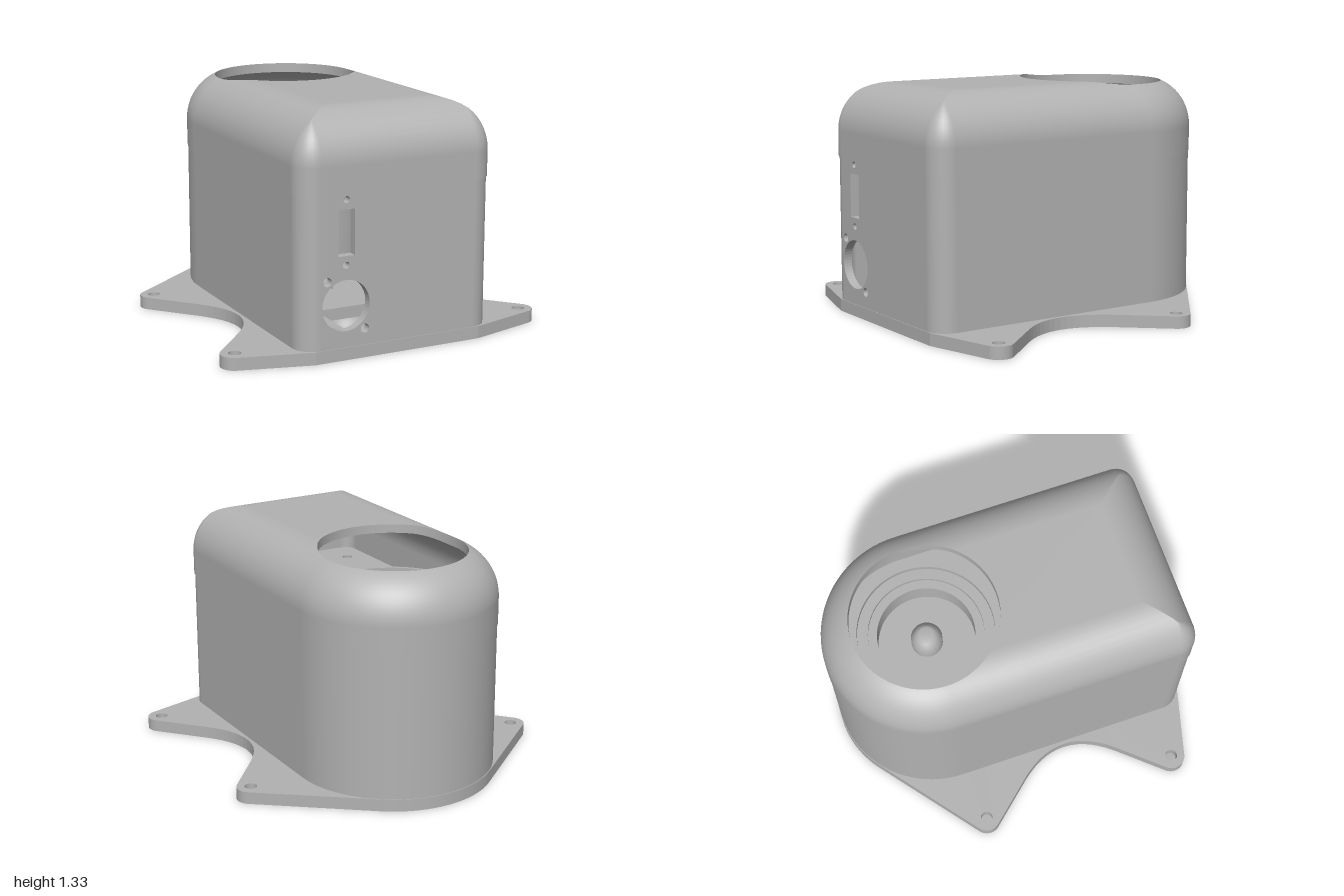
import * as THREE from 'three';

const ZC = -0.415;      // centre of the round back end and of the top opening
const R = 0.415;        // radius of the top opening
const SEAM = 0.9;       // height where cover and lower housing meet
const SPRING = 1.05;    // height where the cover starts to round over
const WALL = 0.05;
const PI = Math.PI;

const grey = new THREE.MeshStandardMaterial({ color: 0xb2b2b2, side: THREE.DoubleSide });
grey.name = 'grey plastic';

function add(group, name, geometry, x = 0, y = 0, z = 0) {
  const mesh = new THREE.Mesh(geometry, grey);
  mesh.name = name;
  mesh.position.set(x, y, z);
  group.add(mesh);
  return mesh;
}

// Housing footprint: half width w, front at z = f, corner radius r, rounded back.
// Each entry gives a point for any inset d, its normal, and the largest inset allowed.
function footprint(w, f, r, fillet) {
  const pts = [];
  const push = (nx, nz, at, dmax) => pts.push({ nx, nz, at, dmax });
  const half = [];
  for (let i = 0; i <= 8; i++) {
    const a = PI / 2 * (1 - i / 8), c = Math.cos(a), s = Math.sin(a);
    half.push([c, s, d => {
      const m = Math.max(d, r), q = Math.max(r - d, 0);
      return [w - m + q * c, f - m + q * s];
    }, fillet]);
  }
  const aFlat = Math.acos((w - fillet) / R);
  const angles = [];
  for (let i = 0; i <= 3; i++) angles.push(PI / 2 + (aFlat - PI / 2) * i / 3);
  for (let i = 1; i <= 10; i++) angles.push(aFlat * (1 - i / 10));
  for (const a of angles) {
    const z = ZC + R * Math.sin(a);
    half.push([1, 0, d => [w - d, z], Math.min(fillet, w - R * Math.cos(a))]);
  }
  for (const h of half) push(...h);
  for (let i = 1; i < 40; i++) {
    const a = -PI * i / 40, c = Math.cos(a), s = Math.sin(a);
    push(c, s, d => [(w - d) * c, ZC + (w - d) * s], w - R);
  }
  for (const [nx, nz, at, dmax] of half.reverse()) {
    push(-nx, nz, d => { const p = at(d); return [-p[0], p[1]]; }, dmax);
  }
  return pts;
}

// Surface over a grid of columns; each vertex is [x, y, z, nx, ny, nz].
function surface(columns, closed, flip = false) {
  const n = columns.length, m = columns[0].length, pos = [], nor = [], idx = [];
  const k = flip ? -1 : 1;
  for (const col of columns) for (const v of col) {
    pos.push(v[0], v[1], v[2]);
    nor.push(k * v[3], k * v[4], k * v[5]);
  }
  for (let i = 0; i < (closed ? n : n - 1); i++) for (let j = 0; j < m - 1; j++) {
    const a = i * m + j, b = ((i + 1) % n) * m + j;
    if (flip) idx.push(a, b + 1, b, a, a + 1, b + 1);
    else idx.push(a, b, b + 1, a, b + 1, a + 1);
  }
  const g = new THREE.BufferGeometry();
  g.setAttribute('position', new THREE.Float32BufferAttribute(pos, 3));
  g.setAttribute('normal', new THREE.Float32BufferAttribute(nor, 3));
  g.setIndex(idx);
  return g;
}

// Straight skirt followed by the rounded shoulder of the cover
function coverSurface(w, f, r, fillet, flip) {
  const cols = footprint(w, f, r, fillet).map(p => {
    const [x0, z0] = p.at(0);
    const col = [[x0, SEAM, z0, p.nx, 0, p.nz]];
    const end = Math.acos(1 - p.dmax / fillet);
    for (let j = 0; j <= 12; j++) {
      const t = end * j / 12, c = Math.cos(t), s = Math.sin(t);
      const [x, z] = p.at(fillet * (1 - c));
      col.push([x, SPRING + fillet * s, z, p.nx * c, s, p.nz * c]);
    }
    return col;
  });
  return surface(cols, true, flip);
}

function wallSurface(w, f, r, y0, y1, flip) {
  const cols = footprint(w, f, r, 0.28).map(p => {
    const [x, z] = p.at(0);
    return [[x, y0, z, p.nx, 0, p.nz], [x, y1, z, p.nx, 0, p.nz]];
  });
  return surface(cols, false, flip);
}

// Horizontal plate from a shape drawn in x and z
function slab(shape, y0, h) {
  const g = new THREE.ExtrudeGeometry(shape, { depth: h, bevelEnabled: false, curveSegments: 20 });
  return g.rotateX(PI / 2).translate(0, y0 + h, 0);
}

const circle = (x, y, r) => new THREE.Path().absarc(x, y, r, 0, 2 * PI, true);
const polygon = (Type, pts) => new Type(pts.map(p => new THREE.Vector2(p[0], p[1])));
const rect = (x0, x1, y0, y1) => polygon(THREE.Path, [[x0, y0], [x0, y1], [x1, y1], [x1, y0]]);
const lathe = pts => new THREE.LatheGeometry(pts.map(p => new THREE.Vector2(p[0], p[1])), 64);

// Height of the cover at a point on the opening's edge
function rimHeight(x, z, w, fillet) {
  const d = Math.min(fillet, z > ZC ? w - Math.abs(x) : w - R);
  return SPRING + Math.sqrt(fillet * fillet - (fillet - d) ** 2);
}

export function createModel() {
  const model = new THREE.Group();
  model.name = 'motorHousing';

  // Base plate with four mounting ears and waisted sides
  const path = new THREE.Path();
  path.moveTo(0, -1);
  path.absarc(0, ZC, 0.585, -PI / 2, -0.904, false);
  path.absarc(0.88, -0.365, 0.08, -0.904, 0.67, false);
  path.lineTo(0.72, -0.06);
  path.bezierCurveTo(0.56, 0.13, 0.56, 0.32, 0.72, 0.51);
  path.absarc(0.88, 0.815, 0.08, -0.67, 1.33, false);
  path.lineTo(0.5, 1);
  const side = path.getPoints(14);
  const mirrored = side.slice(1).reverse().map(p => new THREE.Vector2(-p.x, p.y));
  const base = new THREE.Shape([...side, ...mirrored]);
  for (const s of [-1, 1]) for (const z of [-0.365, 0.815]) base.holes.push(circle(s * 0.88, z, 0.035));
  for (const [x, z] of [[0.53, -0.41], [-0.53, -0.41], [0, -0.93], [-0.53, 0.52], [0.47, 0.94]]) {
    base.holes.push(circle(x, z, 0.03));
  }
  base.holes.push(rect(-0.08, 0.12, -0.11, 0));
  base.holes.push(polygon(THREE.Path, [[-0.18, 0.36], [-0.18, 0.79], [0.08, 0.79], [0.1, 0.83],
    [0.2, 0.83], [0.22, 0.79], [0.49, 0.79], [0.49, 0.36]]));
  add(model, 'basePlate', slab(base, 0, 0.07));

  // Lower housing: side and back walls, slightly inset from the cover
  const w = 0.581, f = 0.996, r = 0.12;
  add(model, 'lowerWallOutside', wallSurface(w, f, r, 0.07, SEAM, false));
  add(model, 'lowerWallInside', wallSurface(w - WALL, f - WALL, r - WALL, 0.07, SEAM, true));

  // Front panel with socket, switch slot and screw holes
  const half = w - r;
  const panel = polygon(THREE.Shape, [[-half, 0.07], [half, 0.07], [half, SEAM], [-half, SEAM]]);
  panel.holes.push(circle(-0.32, 0.3, 0.14), rect(-0.365, -0.27, 0.57, 0.82));
  for (const [x, y, q] of [[-0.32, 0.872, 0.019], [-0.32, 0.52, 0.019], [-0.43, 0.44, 0.025], [-0.207, 0.16, 0.025]]) {
    panel.holes.push(circle(x, y, q));
  }
  add(model, 'frontPanel', new THREE.ExtrudeGeometry(panel,
    { depth: WALL, bevelEnabled: false, curveSegments: 24 }), 0, 0, f - WALL);

  // Cover: outer and inner skins, flat top and the edge of the opening
  add(model, 'coverOutside', coverSurface(0.585, 1, 0.12, 0.28, false));
  add(model, 'coverInside', coverSurface(0.535, 0.95, 0.07, 0.23, true));
  const a0 = Math.acos(0.305 / R), flat = [[-0.305, 0.72], [0.305, 0.72]];
  for (let i = 0; i <= 24; i++) {
    const a = a0 + (PI - 2 * a0) * i / 24;
    flat.push([R * Math.cos(a), ZC + R * Math.sin(a)]);
  }
  add(model, 'coverTop', slab(polygon(THREE.Shape, flat), 1.28, WALL));
  const rim = [];
  for (let i = 0; i < 96; i++) {
    const a = 2 * PI * i / 96, c = Math.cos(a), s = Math.sin(a), x = R * c, z = ZC + R * s;
    rim.push([0.535, 0.585].map((cw, j) => [x, rimHeight(x, z, cw, 0.23 + j * 0.05), z, -c, 0, -s]));
  }
  add(model, 'openingEdge', surface(rim, true));

  // Inner deck under the cover
  const deck = polygon(THREE.Shape, footprint(0.53, 0.945, 0.07, 0.23).map(p => p.at(0)));
  deck.holes.push(circle(0, ZC, 0.3));
  for (const s of [-1, 1]) for (const z of [0.1, 0.75]) deck.holes.push(circle(s * 0.4, z, 0.03));
  add(model, 'innerDeck', slab(deck, 0.87, 0.03));

  // Stepped bearing ring with a recessed floor, and the spindle in its middle
  add(model, 'bearingRing', lathe([[0.405, 0.88], [0.405, 1.08], [0.385, 1.08], [0.385, 1.05], [0.325, 1.05],
    [0.325, 1.03], [0.275, 1.03], [0.275, 0.9], [0, 0.9]]).toNonIndexed(), 0, 0, ZC).geometry.computeVertexNormals();
  add(model, 'spindle', lathe([[0.088, 0.9], [0.088, 0.98], [0.06, 1.02], [0.04, 1.03], [0, 1.03]]), 0, 0, ZC);

  return model;
}
